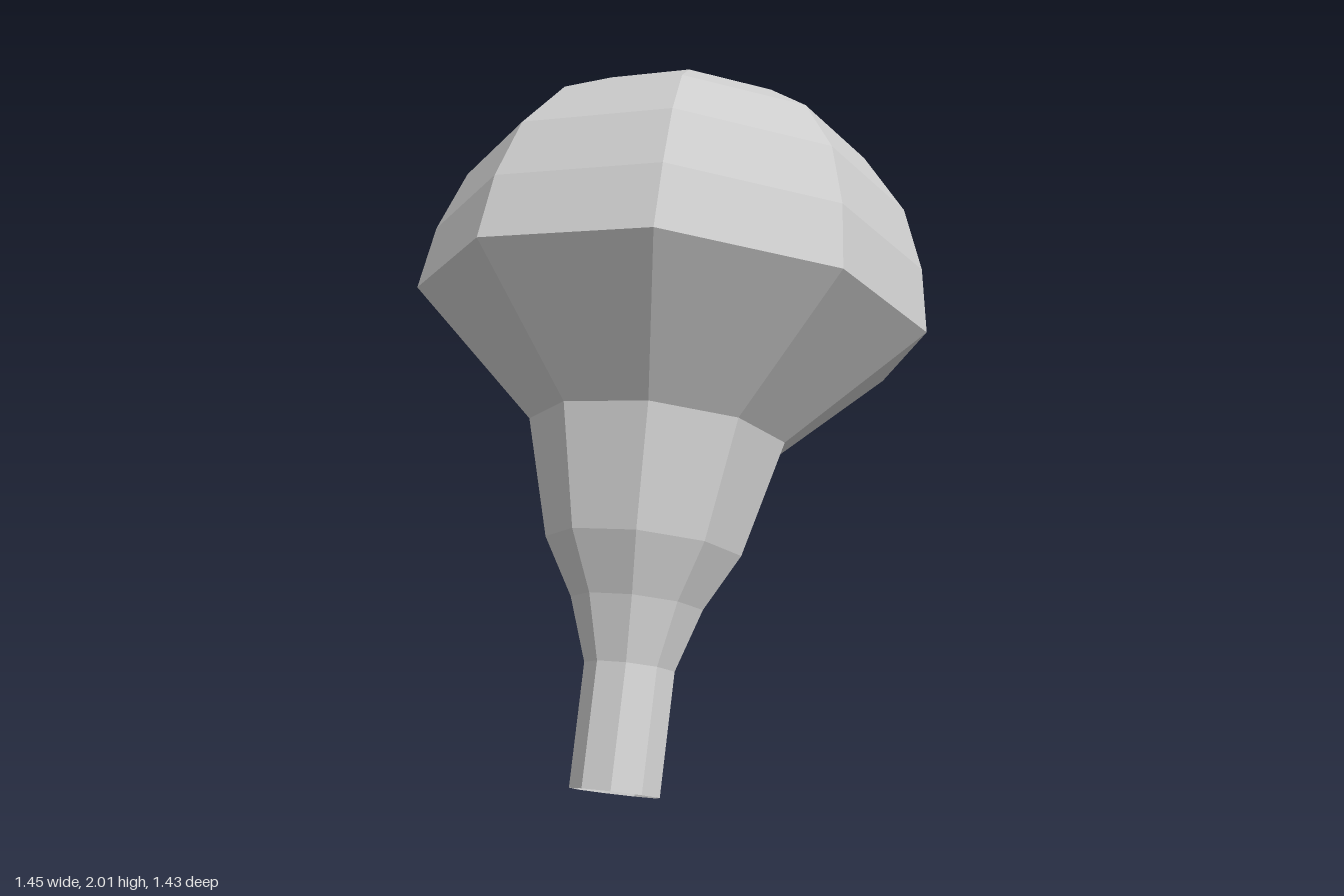
import * as THREE from 'three';

const SIDES = 9;

// Profiles as [radius, distance along the axis], from the open neck to the crown.
const NECK = [[0.127, 0], [0.129, 0.343], [0.19, 0.52], [0.283, 0.68], [0.375, 1.015]];
const FLARE = [[0.375, 1.015], [0.752, 1.36]];
const DOME = [[0.752, 1.36], [0.725, 1.55], [0.66, 1.735], [0.53, 1.9], [0.363, 2.005], [0, 2.095]];

export function createModel() {
  const material = new THREE.MeshStandardMaterial({
    color: 0xcccccc, flatShading: true, side: THREE.DoubleSide,
  });

  const bulb = new THREE.Group();
  bulb.name = 'bulb';
  const addTurned = (name, profile) => {
    const points = profile.map(([r, t]) => new THREE.Vector2(r, t));
    const mesh = new THREE.Mesh(new THREE.LatheGeometry(points, SIDES), material);
    mesh.name = name;
    bulb.add(mesh);
  };
  addTurned('neck', NECK);
  addTurned('flare', FLARE);
  addTurned('dome', DOME);

  // Lean the bulb: its axis, and the direction of one corner of the rim.
  const axis = new THREE.Vector3(0.565, 1.866, -0.768).normalize();
  const corner = new THREE.Vector3(0.195, 0.195, 0.7);
  corner.addScaledVector(axis, -corner.dot(axis)).normalize();
  const side = new THREE.Vector3().crossVectors(axis, corner);
  bulb.quaternion.setFromRotationMatrix(new THREE.Matrix4().makeBasis(side, axis, corner));
  bulb.position.set(-0.385, 0.058, 0.515);

  const model = new THREE.Group();
  model.name = 'tiltedBulb';
  model.add(bulb);
  return model;
}
